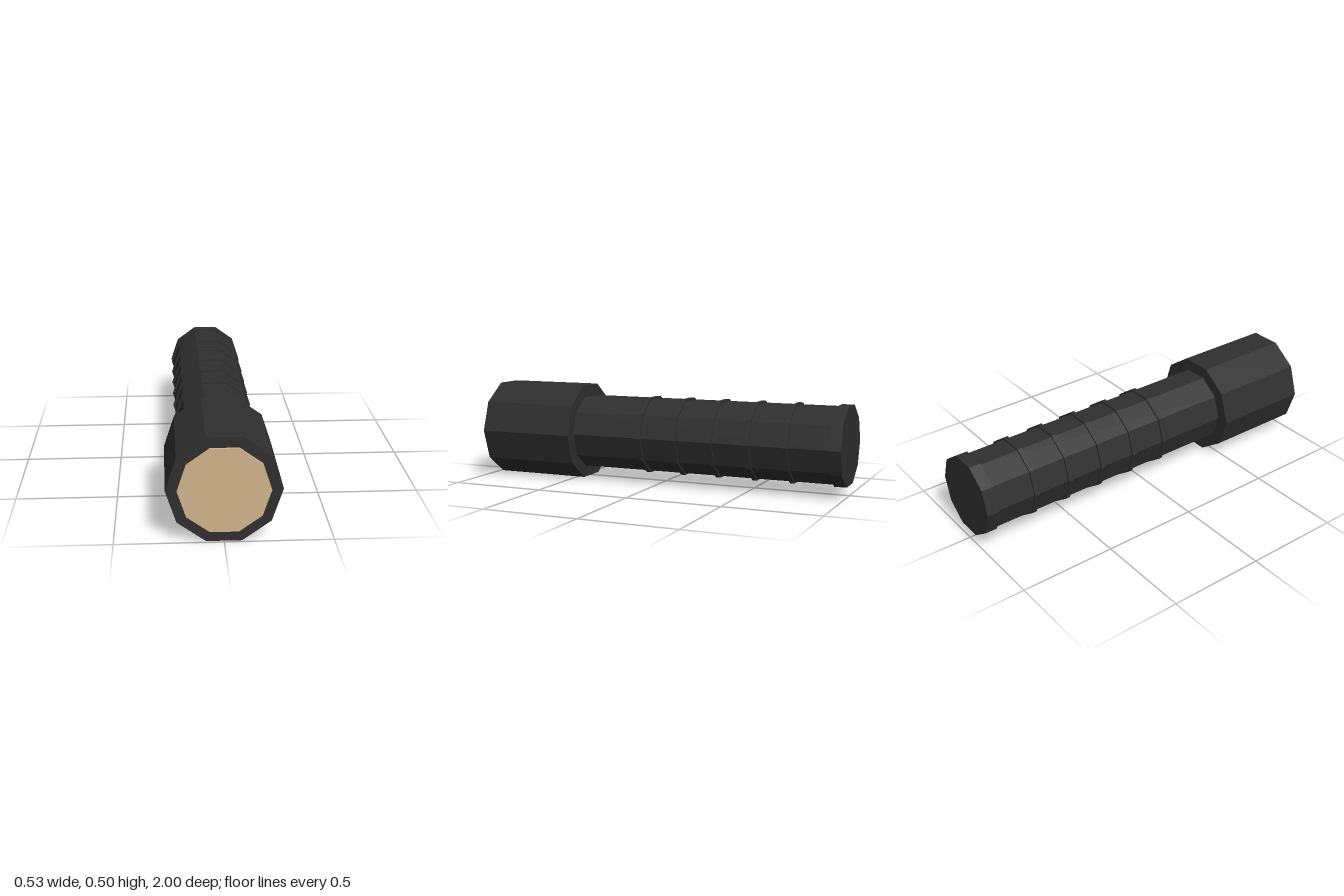
import * as THREE from 'three';

const SIDES = 10;
const AXIS_Y = 0.252;

export function createModel() {
  const group = new THREE.Group();
  const casing = new THREE.MeshStandardMaterial({ color: 0x2f2f2f, flatShading: true });
  casing.name = 'dark casing';
  const glass = new THREE.MeshStandardMaterial({ color: 0xd2b48c, flatShading: true });
  glass.name = 'tan lens';

  // Ten-sided prism along z, with corners on the left and right
  function prism(name, radius, zBack, zFront, material) {
    const geometry = new THREE.CylinderGeometry(radius, radius, zFront - zBack, SIDES, 1, false, Math.PI / 2);
    geometry.rotateX(Math.PI / 2);
    const mesh = new THREE.Mesh(geometry, material);
    mesh.name = name;
    mesh.position.set(0, AXIS_Y, (zBack + zFront) / 2);
    group.add(mesh);
  }

  // Wide head with the lens standing slightly proud
  prism('head', 0.265, 0.46, 0.988, casing);
  prism('lens', 0.212, 0.98, 1, glass);

  // Handle with end cap
  prism('handle', 0.2, -0.95, 0.48, casing);
  prism('endCap', 0.21, -1, -0.937, casing);

  // Grip rings
  for (let i = 0; i < 5; i++) {
    const z = 0.074 - i * 0.199;
    prism('gripRing' + (i + 1), 0.21, z - 0.0125, z + 0.0125, casing);
  }
  return group;
}
